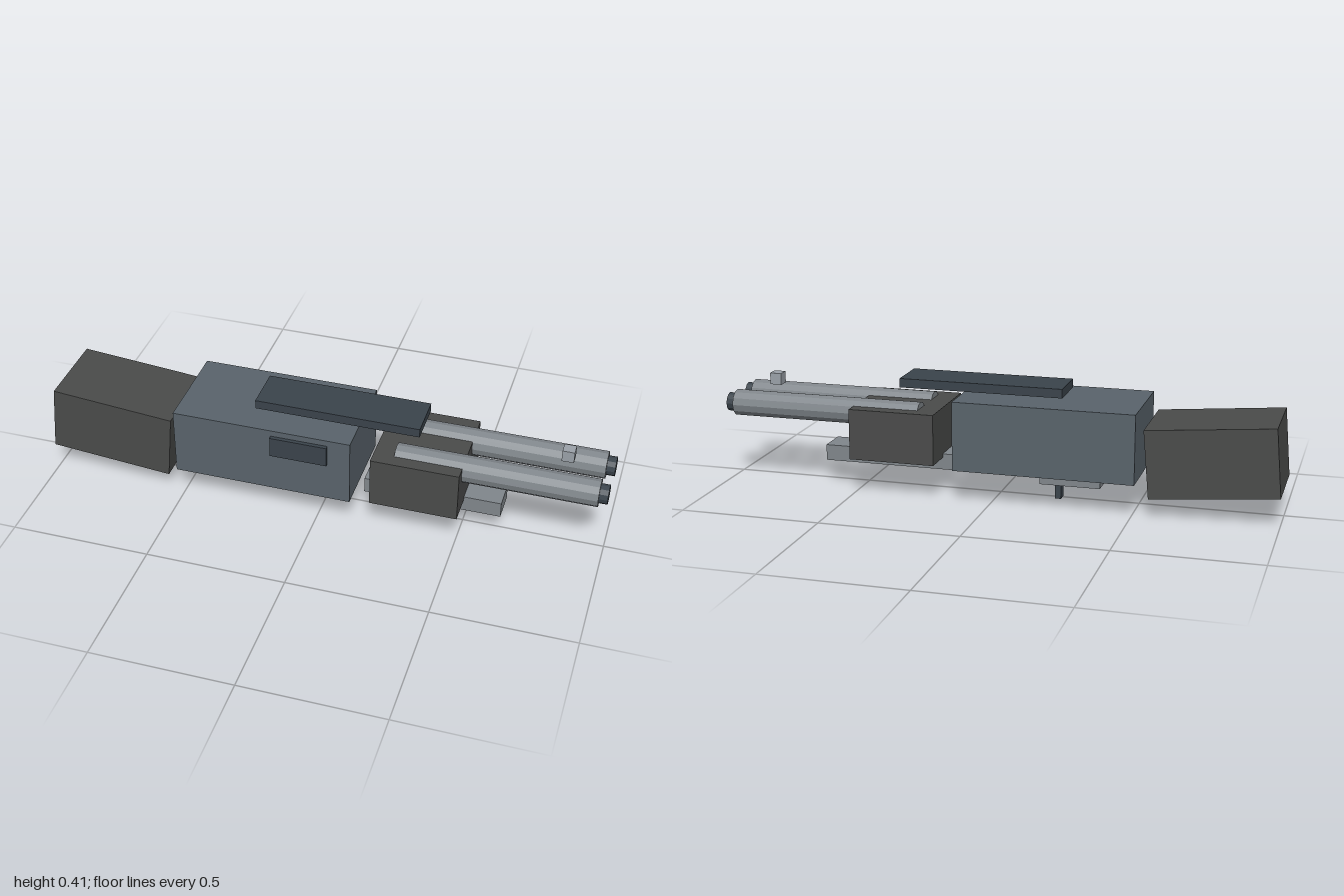
import * as THREE from 'three';

const mat = (color) => new THREE.MeshStandardMaterial({ color, flatShading: true });

export function createModel() {
  const group = new THREE.Group();
  const body = mat(0x59636b), dark = mat(0x3a434b), stockGrey = mat(0x4a4b4a);
  const steel = mat(0x80868b), light = mat(0x9aa1a8);
  const midZ = -0.007;

  const add = (name, geometry, material, x, y, z) => {
    const mesh = new THREE.Mesh(geometry, material);
    mesh.name = name;
    mesh.position.set(x, y, z);
    group.add(mesh);
    return mesh;
  };
  // box given by its x and y ranges, its depth and its centre in z
  const box = (name, material, x0, x1, y0, y1, depth, z = midZ) =>
    add(name, new THREE.BoxGeometry(x1 - x0, y1 - y0, depth), material, (x0 + x1) / 2, (y0 + y1) / 2, z);
  // twelve-sided rod along x
  const rod = (name, material, x0, x1, radius, y, z) => {
    const geometry = new THREE.CylinderGeometry(radius, radius, x1 - x0, 12).rotateZ(-Math.PI / 2);
    return add(name, geometry, material, (x0 + x1) / 2, y, z);
  };

  // main housing with its side port and top rail
  box('receiver', body, -0.513, 0.128, 0.119, 0.365, 0.342);
  box('sidePort', dark, -0.155, 0.048, 0.268, 0.343, 0.032, 0.162);
  box('topRail', dark, -0.24, 0.347, 0.381, 0.413, 0.16);

  // tilted shoulder stock
  box('stock', stockGrey, -0.9905, -0.5455, 0.0855, 0.3265, 0.288).rotation.z = -THREE.MathUtils.degToRad(5);

  // fore end and the bar under it
  box('foreEnd', stockGrey, 0.198, 0.508, 0.129, 0.311, 0.333);
  box('underBar', steel, 0.15, 0.64, 0.085, 0.142, 0.112);

  // twin barrels with dark muzzles
  for (const side of [1, -1]) {
    const z = midZ + side * 0.08;
    rod('barrel', steel, 0.27, 0.97, 0.048, 0.285, z);
    rod('muzzle', dark, 0.95, 1.0, 0.034, 0.285, z);
  }
  box('frontSight', light, 0.824, 0.866, 0.344, 0.386, 0.042);

  // trigger below the housing
  box('triggerPlate', steel, -0.385, -0.172, 0.08, 0.118, 0.234);
  box('trigger', dark, -0.225, -0.203, 0, 0.09, 0.038);

  return group;
}
